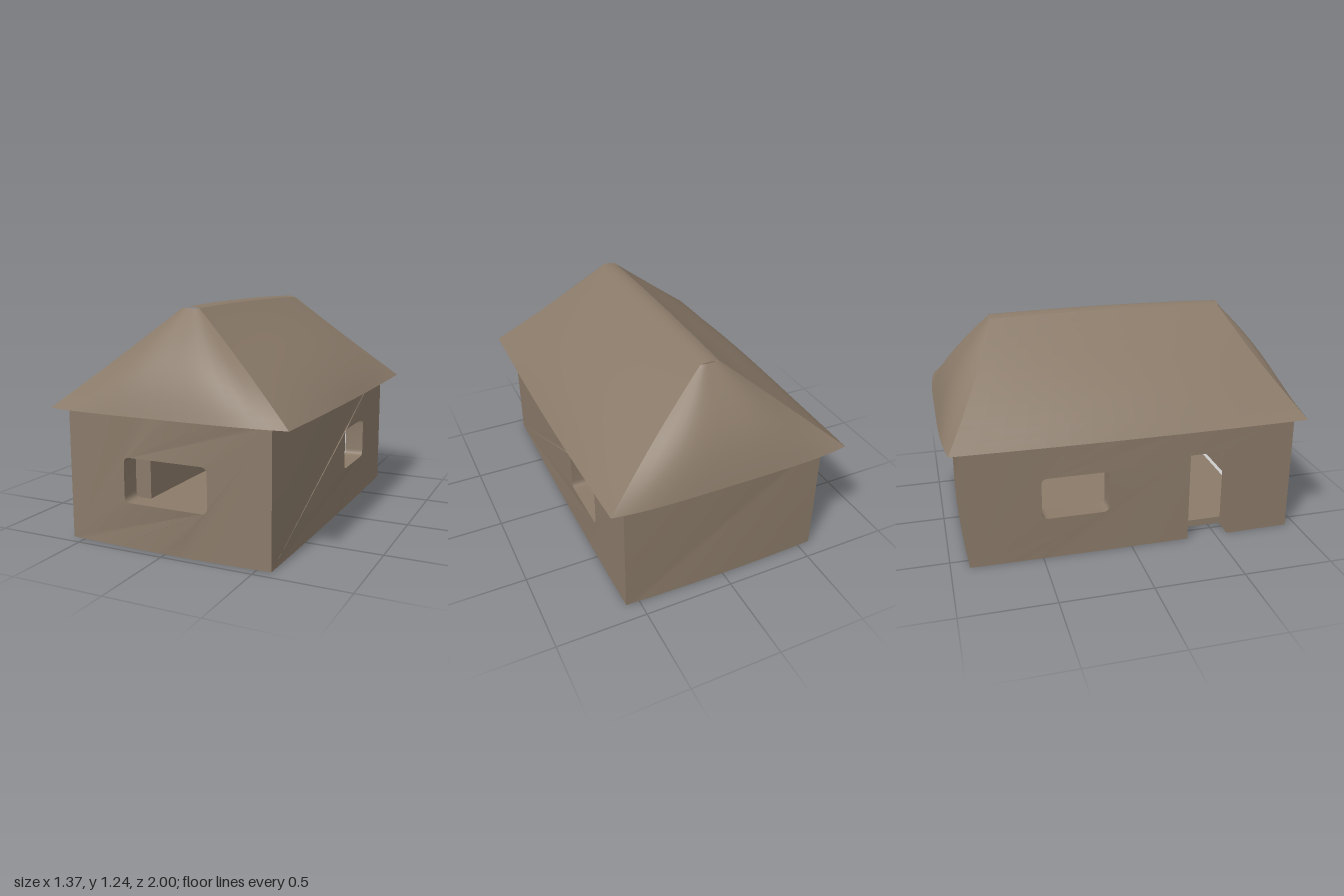
import * as THREE from 'three';
import { toCreasedNormals, mergeGeometries } from 'three/addons/utils/BufferGeometryUtils.js';

const WALL = 0.11, TOP = 0.705;

// Rounded rectangle used for window openings
function roundedHole(u0, u1, y0, y1, r) {
  const p = new THREE.Path();
  p.moveTo(u0 + r, y0);
  p.lineTo(u1 - r, y0); p.quadraticCurveTo(u1, y0, u1, y0 + r);
  p.lineTo(u1, y1 - r); p.quadraticCurveTo(u1, y1, u1 - r, y1);
  p.lineTo(u0 + r, y1); p.quadraticCurveTo(u0, y1, u0, y1 - r);
  p.lineTo(u0, y0 + r); p.quadraticCurveTo(u0, y0, u0 + r, y0);
  return p;
}

// Wall slab spanning u0..u1, gently bowed outward, with window and door openings
function wallGeometry(u0, u1, bow, windowHole, door) {
  const pts = [], n = 16;
  const edge = (a, b, y, steps) => {
    for (let i = 0; i <= steps; i++) pts.push(new THREE.Vector2(a + (b - a) * i / steps, y));
  };
  if (door) {
    edge(u0, door[0], 0, n);
    edge(door[0], door[1], door[2], 2);
    edge(door[1], u1, 0, n);
  } else edge(u0, u1, 0, n);
  edge(u1, u0, TOP, n);
  const shape = new THREE.Shape(pts);
  if (windowHole) shape.holes.push(roundedHole(...windowHole));
  const g = new THREE.ExtrudeGeometry(shape, { depth: WALL, bevelEnabled: false, curveSegments: 5 });
  const p = g.attributes.position, mid = (u0 + u1) / 2, half = (u1 - u0) / 2;
  for (let i = 0; i < p.count; i++) {
    const t = (p.getX(i) - mid) / half;
    p.setZ(i, p.getZ(i) + bow * (1 - t * t));
  }
  return toCreasedNormals(g, 0.5);
}

// Smooth grid surface from a function f(u, v) with u in -1..1 and v in 0..1
function patch(f, nu, nv) {
  const pos = [], idx = [];
  for (let j = 0; j <= nv; j++) for (let i = 0; i <= nu; i++) pos.push(...f(-1 + 2 * i / nu, j / nv));
  for (let j = 0; j < nv; j++) for (let i = 0; i < nu; i++) {
    const a = j * (nu + 1) + i, b = a + nu + 1;
    idx.push(a, a + 1, b + 1, a, b + 1, b);
  }
  const g = new THREE.BufferGeometry();
  g.setAttribute('position', new THREE.Float32BufferAttribute(pos, 3));
  g.setIndex(idx);
  g.computeVertexNormals();
  return g;
}

// Hip line from eave corner to ridge end
const hip = v => [0.67 - 0.62 * v, 0.70 + 0.518 * v, 0.97 - 0.31 * v - 0.015 * Math.sin(Math.PI * v)];
const gableBulge = v => 0.03 * (1 - v) + 0.065 * Math.sin(Math.PI * v) + 0.01 * v;
const sideBulge = v => 0.015 * (1 - v) + 0.07 * Math.sin(Math.PI * v) * (1 - v);

function roofGeometry() {
  const gable = patch((u, v) => {
    const [x, y, z] = hip(v), k = 1 - u ** 4;
    return [u * x, y, z + k * gableBulge(v)];
  }, 16, 12);
  const slope = patch((u, v) => {
    const [x, y, z] = hip(v), k = 1 - u * u;
    return [x + k * sideBulge(v), y + 0.01 * k * v, -u * z];
  }, 16, 12);
  const ridge = patch((u, v) => {
    const s = 1 - 2 * v, z = s * (0.66 + 0.01 * (1 - u ** 4));
    return [u * 0.05, 1.218 + 0.01 * (1 - s * s) + 0.009 * (1 - u * u), z];
  }, 6, 12);
  // Flat underside following the bowed eaves
  const under = patch((u, v) => {
    const s = 1 - 2 * v;
    return [u * (0.67 + 0.015 * (1 - s * s)), 0.70, -s * (0.97 + 0.03 * (1 - u ** 4))];
  }, 16, 16);
  return mergeGeometries([
    gable, gable.clone().rotateY(Math.PI), slope, slope.clone().rotateY(Math.PI), ridge, under
  ]);
}

export function createModel() {
  const house = new THREE.Group();
  house.name = 'house';
  const brown = new THREE.MeshStandardMaterial({ color: 0x8a7a69 });
  brown.name = 'clay brown';
  const grey = new THREE.MeshStandardMaterial({ color: 0xcccccc });
  grey.name = 'pale grey';
  const add = (name, geometry, material = brown) => {
    const m = new THREE.Mesh(geometry, material);
    m.name = name;
    house.add(m);
    return m;
  };

  // Walls
  add('frontWall', wallGeometry(-0.575, 0.575, 0.018, [-0.235, 0.24, 0.24, 0.478, 0.035]))
    .position.z = 0.94 - WALL;
  const back = add('backWall', wallGeometry(-0.575, 0.575, 0.012));
  back.rotation.y = Math.PI;
  back.position.z = -0.898 + WALL;
  const left = add('leftWall', wallGeometry(-0.935, 0.893, 0.008, [0.13, 0.5, 0.24, 0.478, 0.035]));
  left.rotation.y = Math.PI / 2;
  left.position.x = 0.575 - WALL;
  const right = add('rightWall',
    wallGeometry(-0.893, 0.935, 0.008, [-0.5, -0.13, 0.24, 0.478, 0.035], [0.33, 0.57, 0.52]));
  right.rotation.y = -Math.PI / 2;
  right.position.x = -0.575 + WALL;

  // Floor slab, with a narrow pale gap at the front
  const floor = add('floor', new THREE.BoxGeometry(0.95, 0.04, 1.6));
  floor.position.set(0, 0.03, -0.007);
  const gap = add('floorGap', new THREE.BoxGeometry(0.93, 0.008, 0.05), grey);
  gap.position.set(0, 0.02, 0.815);

  // Pale lining on the inside of the back wall
  const lining = add('backLining', new THREE.BoxGeometry(0.93, 0.65, 0.008), grey);
  lining.position.set(0, 0.37, -0.784);

  // Hipped roof with swollen slopes
  add('roof', roofGeometry());
  return house;
}
